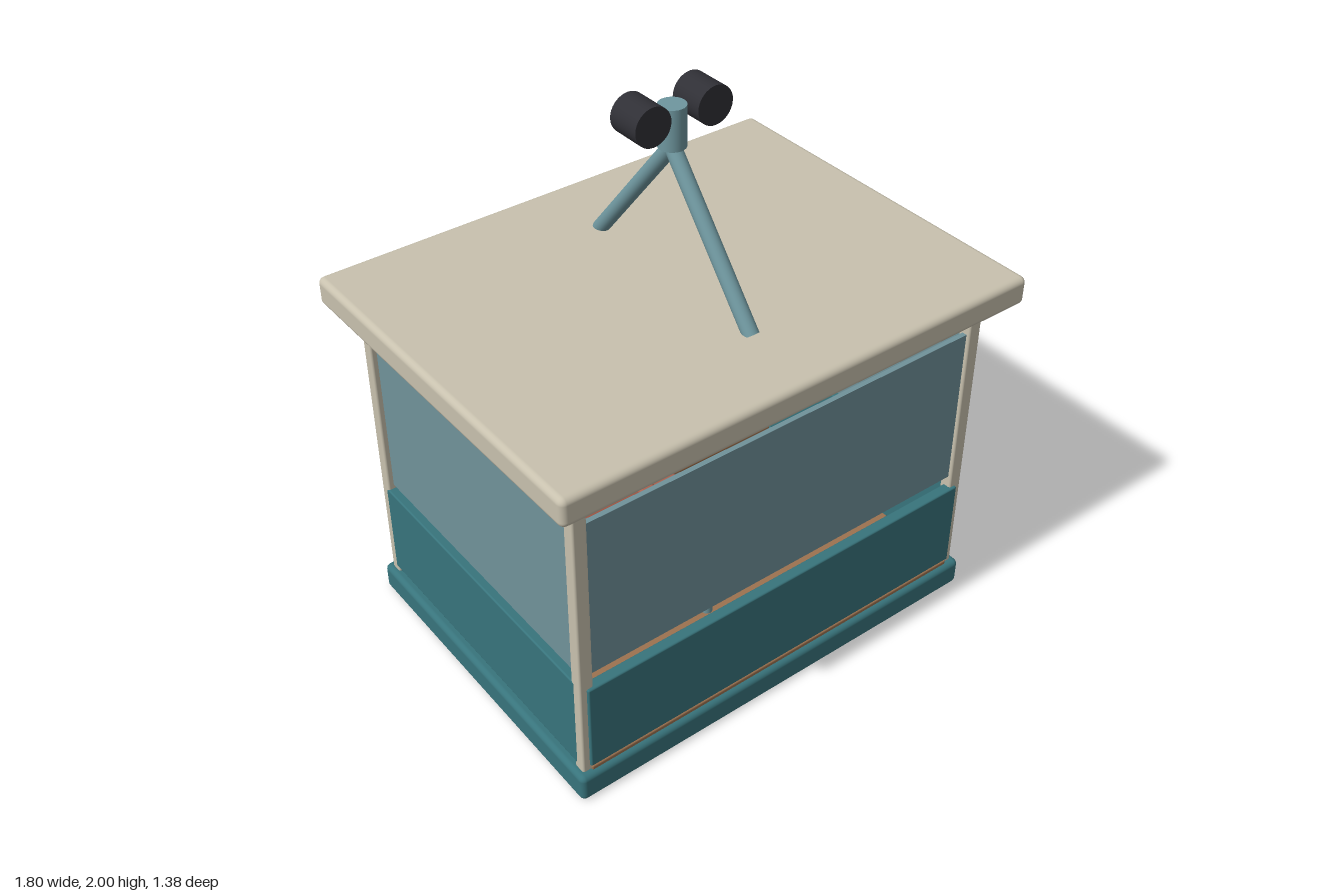
import * as THREE from 'three';
import { RoundedBoxGeometry } from 'three/addons/geometries/RoundedBoxGeometry.js';

const paint = (name, color) => {
  const m = new THREE.MeshStandardMaterial({ color });
  m.name = name;
  return m;
};

export function createModel() {
  const cream = paint('cream', 0xc8c1ae);
  const teal = paint('teal', 0x38747c);
  const pane = paint('blueGreyPane', 0x70929a);
  const steel = paint('blueSteel', 0x6f979f);
  const wood = paint('wood', 0x9c7250);
  const red = paint('seatRed', 0xa9604d);
  const rubber = paint('rubber', 0x303036);

  const model = new THREE.Group();
  model.name = 'cabin';

  const add = (name, geometry, material, x, y, z) => {
    const mesh = new THREE.Mesh(geometry, material);
    mesh.name = name;
    mesh.position.set(x, y, z);
    model.add(mesh);
    return mesh;
  };
  // Box given by its limits on each axis, with softened edges when r > 0
  const block = (name, material, [x0, x1], [y0, y1], [z0, z1], r = 0) => {
    const size = [x1 - x0, y1 - y0, z1 - z0];
    const geometry = r ? new RoundedBoxGeometry(...size, 3, r) : new THREE.BoxGeometry(...size);
    return add(name, geometry, material, (x0 + x1) / 2, (y0 + y1) / 2, (z0 + z1) / 2);
  };
  // Round bar between two points
  const bar = (name, material, a, b, r) => {
    const from = new THREE.Vector3(...a), to = new THREE.Vector3(...b);
    const dir = to.clone().sub(from);
    const mesh = add(name, new THREE.CylinderGeometry(r, r, dir.length(), 24), material,
      ...from.clone().add(to).multiplyScalar(0.5).toArray());
    mesh.quaternion.setFromUnitVectors(new THREE.Vector3(0, 1, 0), dir.normalize());
    return mesh;
  };

  // Base and roof slabs
  block('base', teal, [-0.833, 0.833], [0, 0.105], [-0.625, 0.625], 0.02);
  block('roof', cream, [-0.9, 0.9], [1.235, 1.338], [-0.69, 0.69], 0.022);

  // Floor boards running side to side
  const boards = 10, pitch = 0.123;
  for (let i = 0; i < boards; i++) {
    const z = (i - (boards - 1) / 2) * pitch;
    block('floorBoard', wood, [-0.78, 0.78], [0.1, 0.12], [z - 0.054, z + 0.054], 0.006);
  }

  // Corner posts
  for (const x of [-0.785, 0.785])
    for (const z of [-0.577, 0.577])
      block('cornerPost', cream, [x - 0.026, x + 0.026], [0.1, 1.24], [z - 0.023, z + 0.023], 0.008);

  // Front wall; the back stays open
  block('frontLowerPanel', teal, [-0.785, 0.785], [0.125, 0.468], [0.57, 0.61], 0.006);
  block('frontUpperPanel', pane, [-0.762, 0.762], [0.512, 1.115], [0.57, 0.588]);

  for (const s of [-1, 1]) {
    // Side walls
    const span = (a, b) => (s > 0 ? [a, b] : [-b, -a]);
    block('sideLowerPanel', teal, span(0.772, 0.812), [0.125, 0.488], [-0.57, 0.57], 0.006);
    block('sideUpperPanel', pane, span(0.776, 0.794), [0.512, 1.115], [-0.545, 0.545]);
    // Grab handles beside the open back
    bar('grabHandle', steel, [s * 0.705, 0.335, -0.585], [s * 0.705, 0.88, -0.585], 0.017);
    // Seat legs
    bar('seatLeg', steel, [-0.062, 0.1, s * 0.28], [-0.062, 0.25, s * 0.28], 0.02);
    // Hanger struts
    bar('hangerStrut', steel, [0, 1.33, s * 0.395], [0, 1.81, 0], 0.027);
    // Cable wheels
    const wheel = add('cableWheel', new THREE.CylinderGeometry(0.066, 0.066, 0.125, 32), rubber,
      s * 0.116, 1.934, 0);
    wheel.rotation.x = Math.PI / 2;
  }

  // Hanger hub between the wheels
  bar('hangerHub', steel, [0, 1.81, 0], [0, 1.95, 0], 0.046);

  // Sideways bench with footrest
  block('seat', red, [-0.21, 0.18], [0.235, 0.29], [-0.29, 0.29], 0.015);
  block('backrest', red, [-0.242, -0.18], [0.26, 0.665], [-0.278, 0.278], 0.015);
  block('footrest', steel, [0.24, 0.36], [0.12, 0.14], [-0.2, 0.2], 0.006);

  return model;
}
